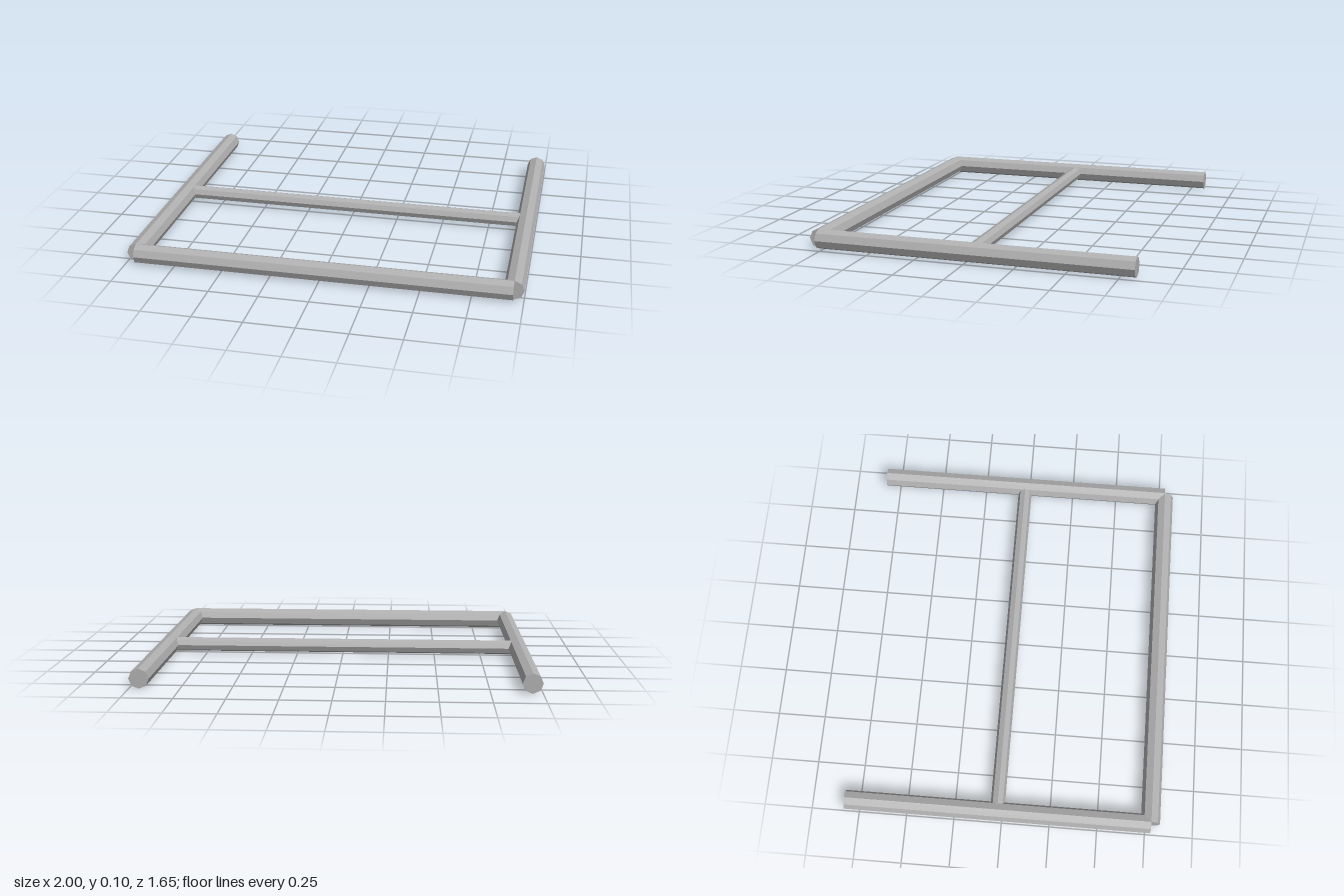
import * as THREE from 'three';

export function createModel() {
  const group = new THREE.Group();
  const metal = new THREE.MeshStandardMaterial({ color: 0xb0b0b0, flatShading: true });
  metal.name = 'grey metal';

  // Eight-sided tube lying along x or z, with a vertex edge on top
  function tube(name, radius, length, axis, x, z) {
    const geo = new THREE.CylinderGeometry(radius, radius, length, 8);
    if (axis === 'x') geo.rotateZ(Math.PI / 2);
    else geo.rotateX(Math.PI / 2);
    const mesh = new THREE.Mesh(geo, metal);
    mesh.name = name;
    mesh.position.set(x, 0.05, z);
    group.add(mesh);
  }

  // Side rails, open toward the back
  tube('leftRail', 0.05, 1.6, 'z', 0.95, -0.025);
  tube('rightRail', 0.05, 1.6, 'z', -0.95, -0.025);

  // Front bar and the thinner crossbar halfway along the rails
  tube('frontBar', 0.05, 1.9, 'x', 0, 0.775);
  tube('crossbar', 0.0375, 1.9, 'x', 0, -0.025);

  return group;
}
